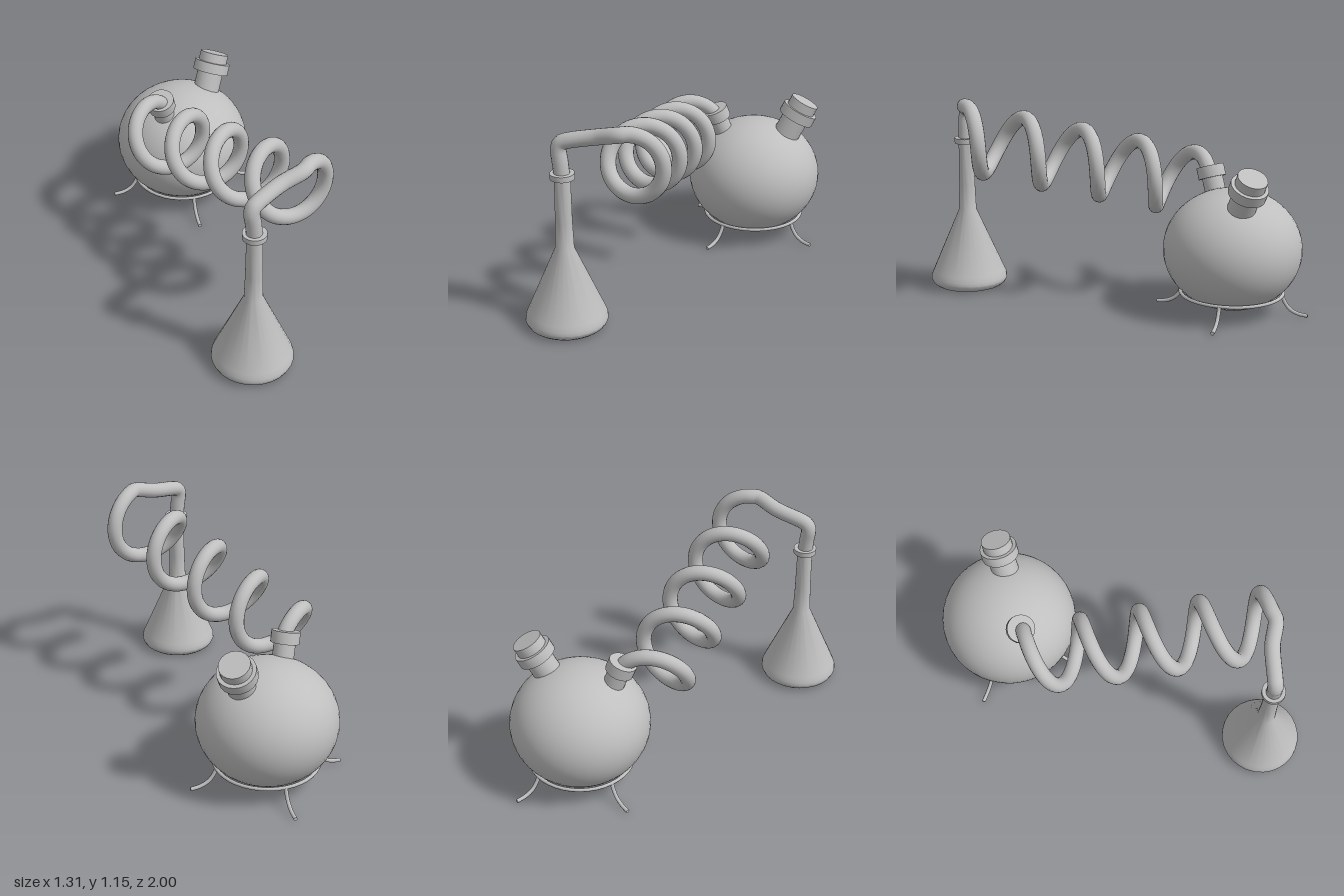
import * as THREE from 'three';
import { toCreasedNormals } from 'three/addons/utils/BufferGeometryUtils.js';

const V = (x, y, z) => new THREE.Vector3(x, y, z);

export function createModel() {
  const model = new THREE.Group();
  model.name = 'distillationSet';
  const grey = new THREE.MeshStandardMaterial({ color: 0xbfbfbf });
  grey.name = 'grey';

  const add = (name, geometry, parent = model) => {
    const mesh = new THREE.Mesh(geometry, grey);
    mesh.name = name;
    parent.add(mesh);
    return mesh;
  };
  const lathe = (points, sides) => toCreasedNormals(
    new THREE.LatheGeometry(points.map(([r, y]) => new THREE.Vector2(r, y)), sides), 0.6);

  // Round boiling vessel, slightly flattened
  const vessel = new THREE.Group();
  vessel.name = 'boilingVessel';
  vessel.position.set(0.27, 0, -0.62);
  model.add(vessel);
  const bulb = add('bulb', new THREE.SphereGeometry(0.38, 40, 28), vessel);
  bulb.scale.y = 0.333 / 0.38;
  bulb.position.y = 0.358;

  // Stand: ring with four splayed legs
  const ring = add('standRing', new THREE.TorusGeometry(0.283, 0.01, 8, 40), vessel);
  ring.rotation.x = Math.PI / 2;
  ring.position.y = 0.116;
  const legCurve = new THREE.CatmullRomCurve3([
    V(0.282, 0.115, 0), V(0.295, 0.085, 0), V(0.325, 0.046, 0), V(0.37, 0.023, 0), V(0.425, 0.015, 0),
  ]);
  for (let i = 0; i < 4; i++) {
    const leg = new THREE.Group();
    leg.name = 'standLeg' + (i + 1);
    leg.rotation.y = -Math.atan2(0.19, 0.38) + i * Math.PI / 2;
    vessel.add(leg);
    add('legRod', new THREE.TubeGeometry(legCurve, 14, 0.011, 8), leg);
    const tip = add('legTip', new THREE.CircleGeometry(0.011, 8), leg);
    tip.rotation.y = Math.PI / 2;
    tip.position.set(0.425, 0.015, 0);
  }

  // Tilted necks; each profile starts inside the bulb
  const neck = (name, base, top, profile) => {
    const mesh = add(name, lathe(profile, 20));
    mesh.position.copy(base);
    mesh.quaternion.setFromUnitVectors(V(0, 1, 0), top.clone().sub(base).normalize());
  };
  neck('stopperedNeck', V(0.46, 0.63, -0.617), V(0.556, 0.822, -0.652), [
    [0.076, -0.08], [0.076, 0.103], [0.104, 0.103], [0.104, 0.163],
    [0.083, 0.163], [0.083, 0.217], [0, 0.217],
  ]);
  neck('outletNeck', V(0.092, 0.63, -0.56), V(0.042, 0.775, -0.535), [
    [0.058, -0.08], [0.058, 0.085], [0.077, 0.085], [0.077, 0.15], [0, 0.15],
  ]);

  // Receiving flask with conical body and collar
  const flask = add('conicalFlask', lathe([
    [0, 0.01], [0.193, 0.01], [0.21, 0.024], [0.219, 0.044], [0.216, 0.065], [0.205, 0.092],
    [0.05, 0.45], [0.045, 0.6], [0.042, 0.84], [0.064, 0.84], [0.064, 0.87], [0, 0.87],
  ], 28));
  flask.position.set(-0.432, 0, 0.778);

  // Coiled pipe: rises from the flask, then winds down a sloping axis to the outlet neck
  const path = [
    V(-0.432, 0.84, 0.778), V(-0.441, 0.93, 0.776), V(-0.449, 1.0, 0.772),
    V(-0.437, 1.029, 0.77), V(-0.405, 1.044, 0.769), V(-0.25, 1.079, 0.769),
  ];
  const slope = 0.234, tilt = Math.atan(slope), R = 0.169, steps = 24;
  for (let i = -1; i <= steps * 4.125; i++) {
    const turn = i / steps, a = turn * Math.PI * 2, drop = 0.32 * turn;
    path.push(V(
      -0.08 + R * Math.sin(a),
      0.95 - drop * slope + R * Math.cos(a) * Math.cos(tilt),
      0.82 - drop - R * Math.cos(a) * Math.sin(tilt)));
  }
  path.push(V(0.075, 0.7, -0.55));
  add('coiledPipe', new THREE.TubeGeometry(new THREE.CatmullRomCurve3(path), 260, 0.042, 16));

  return model;
}
